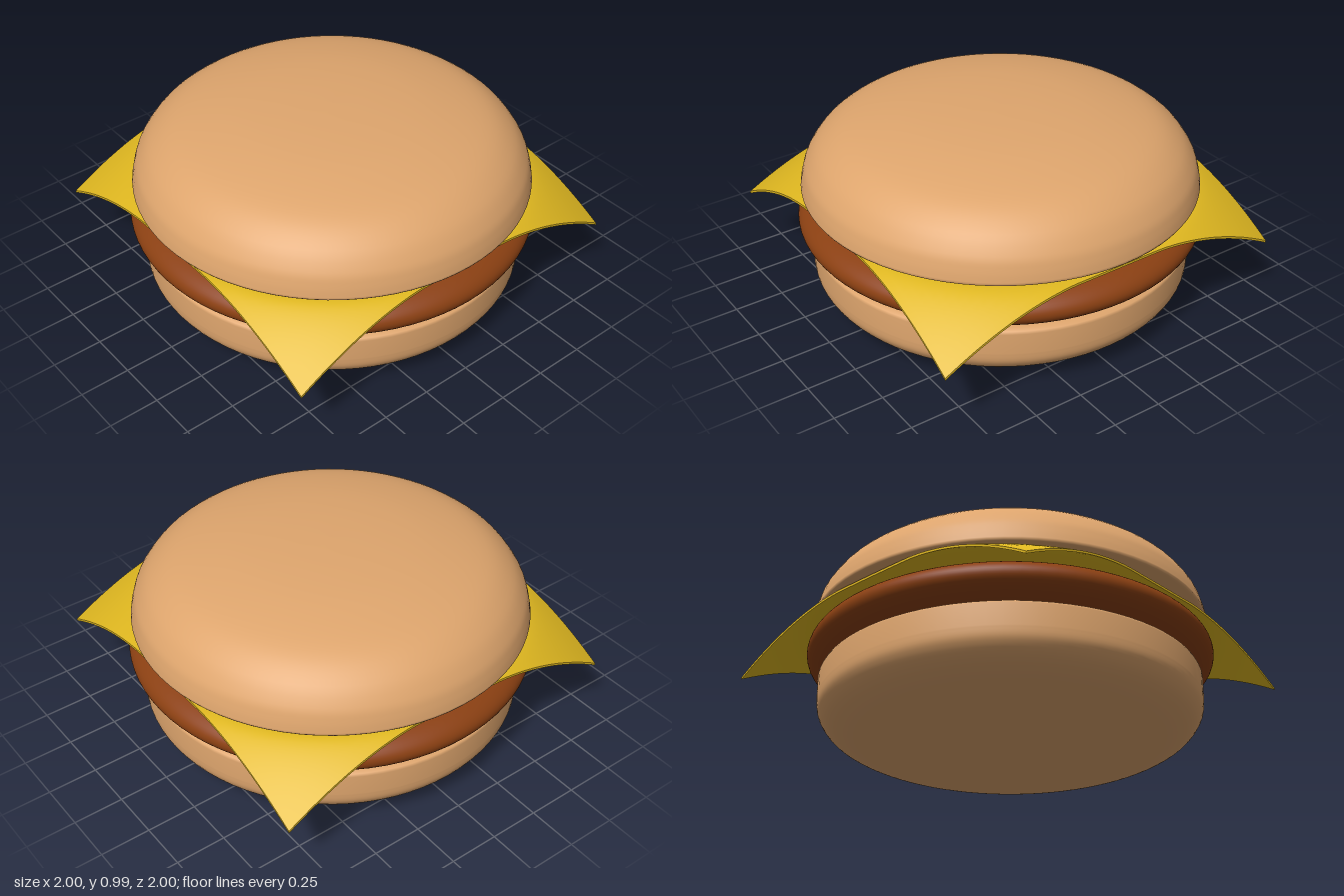
import * as THREE from 'three';

const BUN = 0xdea56d, PATTY = 0x8b4012, CHEESE = 0xe0b820;

// Surface of revolution: a sharp-cornered start and end, splined between them
function turned(name, color, points, start = [], end = []) {
  const v = p => new THREE.Vector2(p[0], p[1]);
  const curve = new THREE.SplineCurve(points.map(v)).getPoints(32);
  const profile = [...start.map(v), ...curve, ...end.map(v)];
  const mesh = new THREE.Mesh(
    new THREE.LatheGeometry(profile, 80),
    new THREE.MeshStandardMaterial({ color })
  );
  mesh.name = name;
  return mesh;
}

// Thin square slice, slightly bowed, with drooping corners
function cheeseSlice() {
  const size = 1.86, half = size / 2;
  const geo = new THREE.BoxGeometry(size, 0.012, size, 48, 1, 48);
  const pos = geo.attributes.position;
  for (let i = 0; i < pos.count; i++) {
    const x = pos.getX(i), z = pos.getZ(i);
    const t = Math.max(0, (Math.hypot(x, z) - 0.96) / (half * Math.SQRT2 - 0.96));
    const bow = 0.025 * (z / half) ** 2;
    pos.setY(i, pos.getY(i) + 0.595 - bow - 0.21 * t ** 1.3);
  }
  geo.computeVertexNormals();
  const mesh = new THREE.Mesh(geo, new THREE.MeshStandardMaterial({ color: CHEESE }));
  mesh.name = 'cheeseSlice';
  return mesh;
}

export function createModel() {
  const group = new THREE.Group();
  group.name = 'burger';

  // Bottom bun: domed underside, straight wall, small rounded rim
  group.add(turned('bottomBun', BUN,
    [[0, 0.003], [0.3, 0.008], [0.6, 0.028], [0.78, 0.058], [0.88, 0.1], [0.93, 0.16], [0.94, 0.22]],
    [],
    [[0.94, 0.325], [0.934, 0.338], [0.915, 0.348], [0.88, 0.352], [0, 0.352]]));

  // Patty: flat disc with an elliptical edge
  const edge = [];
  for (let i = 0; i <= 16; i++) {
    const a = -Math.PI / 2 + Math.PI * i / 16;
    edge.push([0.8 + 0.2 * Math.cos(a), 0.455 + 0.1 * Math.sin(a)]);
  }
  group.add(turned('patty', PATTY, edge, [[0, 0.355]], [[0, 0.555]]));

  group.add(cheeseSlice());

  // Top bun: flat base and a low dome
  group.add(turned('topBun', BUN,
    [[0.977, 0.622], [0.965, 0.68], [0.94, 0.745], [0.87, 0.833], [0.74, 0.91],
      [0.5, 0.964], [0.25, 0.988], [0, 0.995]],
    [[0, 0.612], [0.96, 0.612], [0.972, 0.614]]));

  return group;
}
